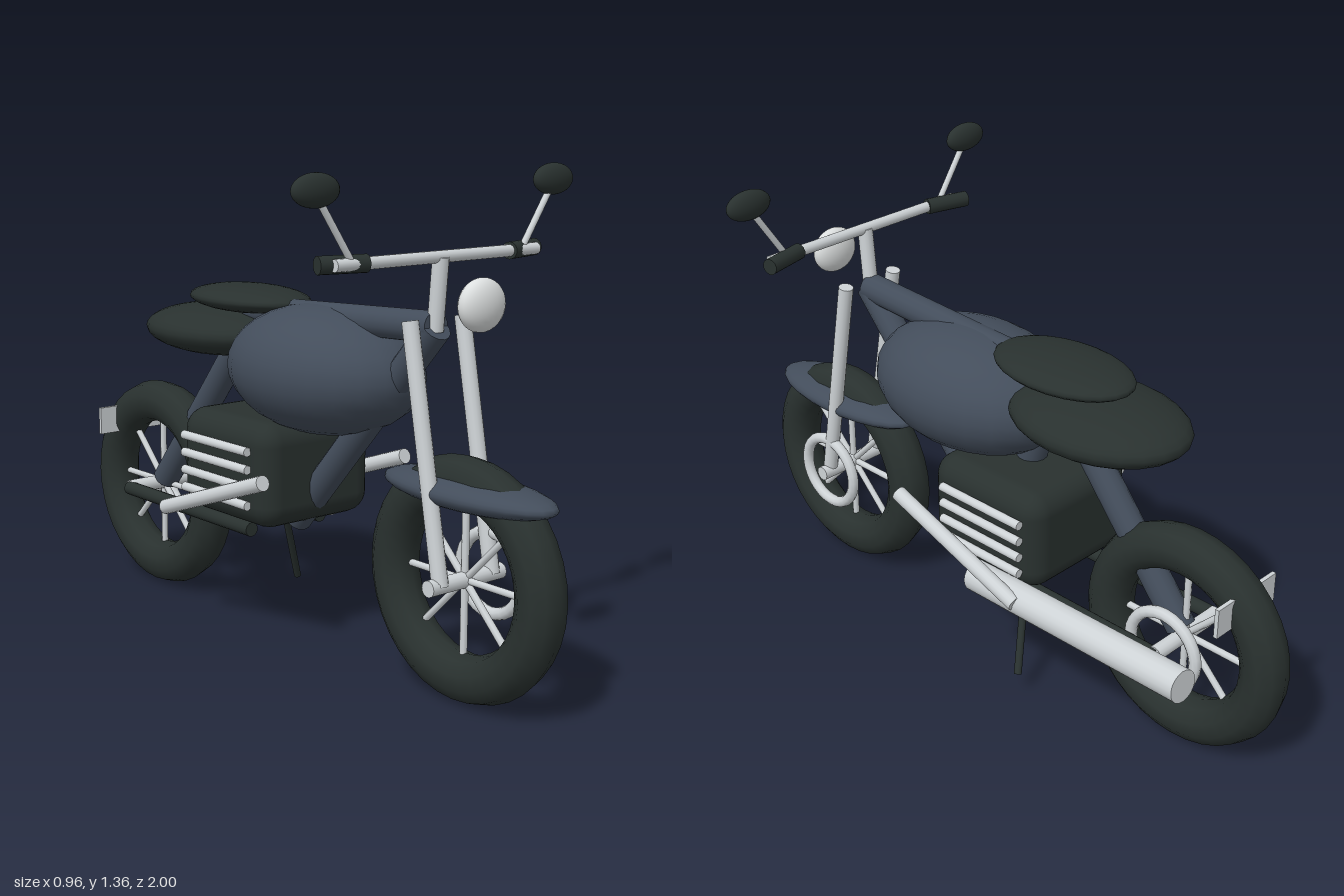
import * as THREE from 'three';
import { RoundedBoxGeometry } from 'three/addons/geometries/RoundedBoxGeometry.js';

const mat = (name, color) => {
  const m = new THREE.MeshStandardMaterial({ color });
  m.name = name;
  return m;
};

export function createModel() {
  const paint = mat('slate paint', 0x434d5b);
  const rubber = mat('dark rubber', 0x29312f);
  const chrome = mat('chrome', 0xced3d6);
  const lens = mat('headlight lens', 0xdde0e0);

  const bike = new THREE.Group();
  bike.name = 'motorcycle';

  const add = (name, geometry, material, parent = bike) => {
    const m = new THREE.Mesh(geometry, material);
    m.name = name;
    parent.add(m);
    return m;
  };

  // Round bar between two points
  const bar = (name, a, b, r, material, parent = bike, sides = 14) => {
    const p = new THREE.Vector3(...a), q = new THREE.Vector3(...b);
    const d = q.clone().sub(p);
    const m = add(name, new THREE.CylinderGeometry(r, r, d.length(), sides), material, parent);
    m.position.copy(p).add(q).multiplyScalar(0.5);
    m.quaternion.setFromUnitVectors(new THREE.Vector3(0, 1, 0), d.normalize());
    return m;
  };

  // Stretched sphere
  const ellipsoid = (name, centre, radii, material) => {
    const g = new THREE.SphereGeometry(1, 24, 16);
    g.scale(...radii);
    const m = add(name, g, material);
    m.position.set(...centre);
    return m;
  };

  // Wheels: tyre, brake ring, spokes and axle
  const axleY = 0.325;
  for (const [name, z] of [['frontWheel', 0.675], ['rearWheel', -0.675]]) {
    const wheel = new THREE.Group();
    wheel.name = name;
    wheel.position.set(0, axleY, z);
    bike.add(wheel);
    add('tyre', new THREE.TorusGeometry(0.26, 0.065, 10, 36), rubber, wheel).rotation.y = Math.PI / 2;
    const ring = add('brakeRing', new THREE.TorusGeometry(0.109, 0.017, 10, 28), chrome, wheel);
    ring.rotation.y = Math.PI / 2;
    ring.position.x = 0.096;
    bar('axle', [-0.13, 0, 0], [0.13, 0, 0], 0.022, chrome, wheel);
    for (let i = 0; i < 8; i++) {
      const a = (i * Math.PI) / 4;
      bar('spoke', [0, 0, 0], [0, 0.21 * Math.cos(a), 0.21 * Math.sin(a)], 0.01, chrome, wheel, 8);
    }
  }

  // Frame tubes
  bar('topTube', [0, 0.96, 0.555], [0, 0.925, -0.2], 0.042, paint);
  bar('downTube', [0, 0.96, 0.555], [0, 0.345, 0], 0.042, paint);
  bar('seatTube', [0, 0.92, -0.2], [0, 0.345, 0], 0.042, paint);
  bar('rearStrut', [0, 0.9, -0.2], [0, 0.34, -0.66], 0.042, paint);

  // Body shells
  ellipsoid('fuelTank', [0, 0.797, 0.12], [0.232, 0.18, 0.328], paint);
  ellipsoid('frontFender', [0, 0.558, 0.68], [0.11, 0.045, 0.29], paint);
  ellipsoid('seat', [0, 0.857, -0.35], [0.203, 0.075, 0.275], rubber);
  ellipsoid('seatPad', [0, 0.96, -0.22], [0.14, 0.04, 0.225], rubber);

  // Engine block
  add('engine', new RoundedBoxGeometry(0.4, 0.3, 0.41, 3, 0.065), rubber).position.set(0, 0.502, -0.1);

  // Steering column, headlight and handlebar
  bar('steeringStem', [0, 0.95, 0.552], [0, 1.14, 0.568], 0.022, chrome);
  ellipsoid('headlight', [0, 1.033, 0.713], [0.075, 0.068, 0.038], lens);
  bar('handlebar', [-0.35, 1.14, 0.567], [0.35, 1.14, 0.567], 0.016, chrome);

  // Paired parts on both sides
  for (const s of [-1, 1]) {
    bar('fork', [s * 0.092, axleY, 0.68], [s * 0.092, 0.985, 0.557], 0.022, chrome);
    bar('grip', [s * 0.247, 1.14, 0.568], [s * 0.376, 1.14, 0.535], 0.023, rubber);
    bar('mirrorStalk', [s * 0.295, 1.145, 0.567], [s * 0.41, 1.315, 0.567], 0.009, chrome);
    ellipsoid('mirror', [s * 0.408, 1.32, 0.567], [0.072, 0.042, 0.028], rubber);
    bar('swingarm', [s * 0.127, 0.322, -0.05], [s * 0.127, 0.322, -0.68], 0.021, rubber);
    bar('sidePipe', [s * 0.258, 0.52, 0.17], [s * 0.258, 0.362, -0.29], 0.022, chrome);
    for (let i = 0; i < 4; i++) {
      const y = 0.575 - i * 0.051;
      bar('coolingFin', [s * 0.21, y, 0.04], [s * 0.21, y, -0.26], 0.013, chrome);
    }
  }

  // Exhaust, kickstand and rear plate
  bar('exhaust', [0.212, 0.343, -0.095], [0.245, 0.383, -0.86], 0.046, chrome, bike, 18);
  bar('kickstand', [0.08, 0.34, -0.165], [0.203, 0.075, -0.25], 0.011, rubber);
  add('rearPlate', new THREE.BoxGeometry(0.24, 0.085, 0.012), chrome).position.set(0, 0.507, -0.857);

  return bike;
}
